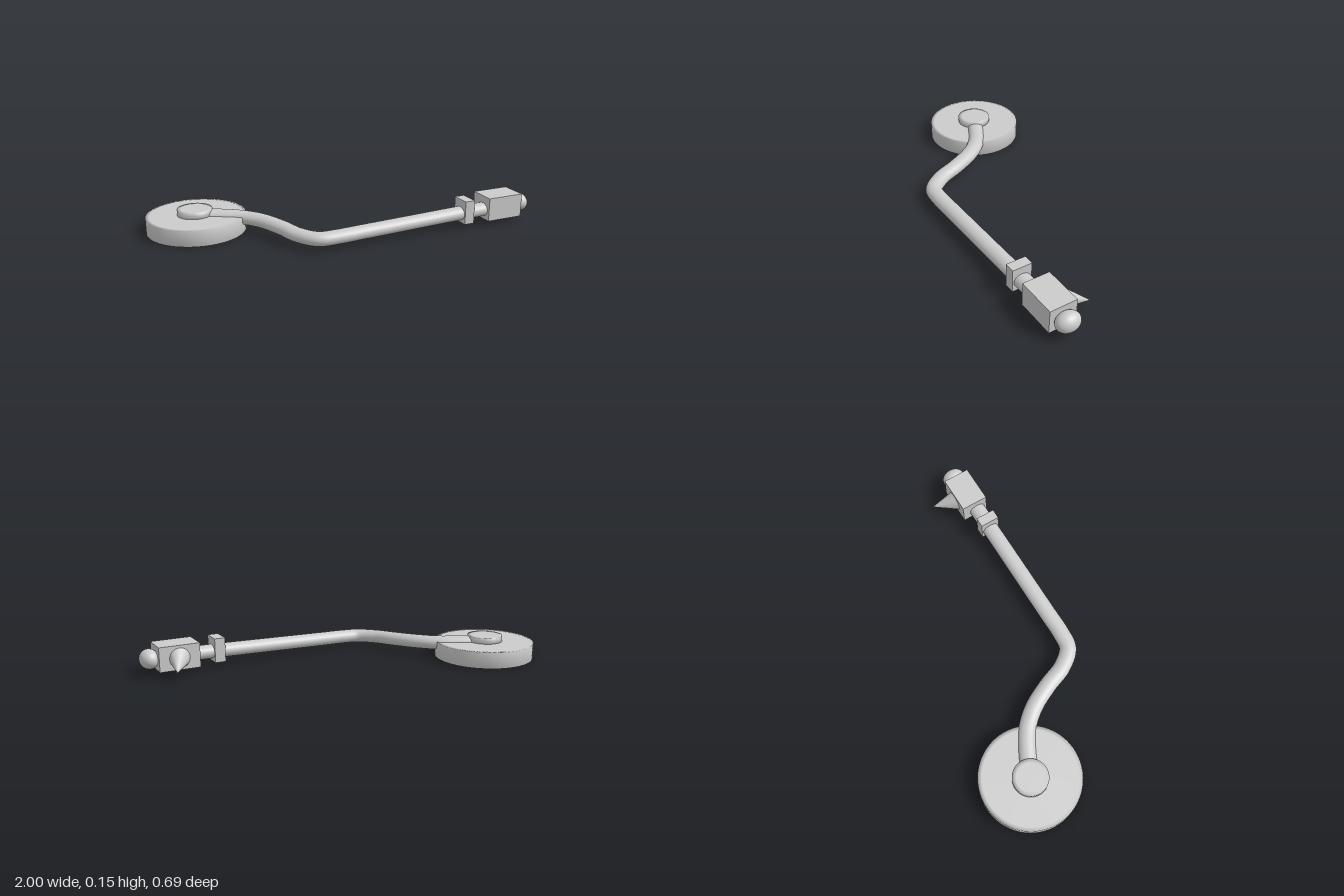
import * as THREE from 'three';

export function createModel() {
  const model = new THREE.Group();
  const material = new THREE.MeshStandardMaterial({ color: 0xcccccc });
  const add = (name, geometry, x = 0, y = 0, z = 0, parent = model) => {
    const mesh = new THREE.Mesh(geometry, material);
    mesh.name = name;
    mesh.position.set(x, y, z);
    parent.add(mesh);
    return mesh;
  };

  // Solid disc with softly shaded rim
  const disc = (r, h) => new THREE.LatheGeometry(
    [[0, 0], [r - 0.02, 0], [r, 0], [r, h], [r - 0.02, h], [0, h]]
      .map(([x, y]) => new THREE.Vector2(x, y)), 64);
  add('baseDisc', disc(0.255, 0.083), -0.745, 0, 0.032);
  add('pivotCap', disc(0.09, 0.033), -0.75, 0.08, 0.032);

  // Bent arm: a round tube flattened to an oval section
  const flat = 0.8;
  const path = [
    [-0.72, 0.075, 0.03], [-0.6, 0.073, 0.032], [-0.5, 0.071, 0.045],
    [-0.4, 0.069, 0.088], [-0.29, 0.063, 0.172], [-0.2, 0.056, 0.255],
    [-0.1, 0.053, 0.298], [-0.01, 0.055, 0.27], [0.1, 0.058, 0.216],
    [0.37, 0.066, 0.084], [0.643, 0.074, -0.05], [0.76, 0.076, -0.107],
  ].map(([x, y, z]) => new THREE.Vector3(x, y / flat, z));
  const arm = add('arm', new THREE.TubeGeometry(
    new THREE.CatmullRomCurve3(path), 120, 0.044, 24));
  arm.scale.y = flat;

  // Collar and head block, turned to follow the arm
  const angle = Math.atan2(0.435, 0.9);
  add('collar', new THREE.BoxGeometry(0.054, 0.123, 0.102), 0.643, 0.087, -0.05)
    .rotation.y = angle;
  const head = new THREE.Group();
  head.name = 'head';
  head.position.set(0.832, 0.087, -0.155);
  head.rotation.y = angle;
  model.add(head);
  add('headBlock', new THREE.BoxGeometry(0.203, 0.123, 0.142), 0, 0, 0, head);

  // Oval knob on the end of the head
  add('endKnob', new THREE.SphereGeometry(1, 32, 24), 0.132, -0.005, -0.002, head)
    .scale.set(0.047, 0.049, 0.062);

  // Side spike: a cone whose tip is sheared forward and down
  const spike = new THREE.ConeGeometry(0.052, 0.116, 32, 1);
  spike.rotateX(-Math.PI / 2);
  spike.translate(0, 0, -0.058);
  const shear = new THREE.Matrix4().set(
    1, 0, -0.45, 0,
    0, 1, 0.33, 0,
    0, 0, 1, 0,
    0, 0, 0, 1);
  spike.applyMatrix4(shear);
  add('sideSpike', spike, 0, -0.002, -0.069, head);

  return model;
}
